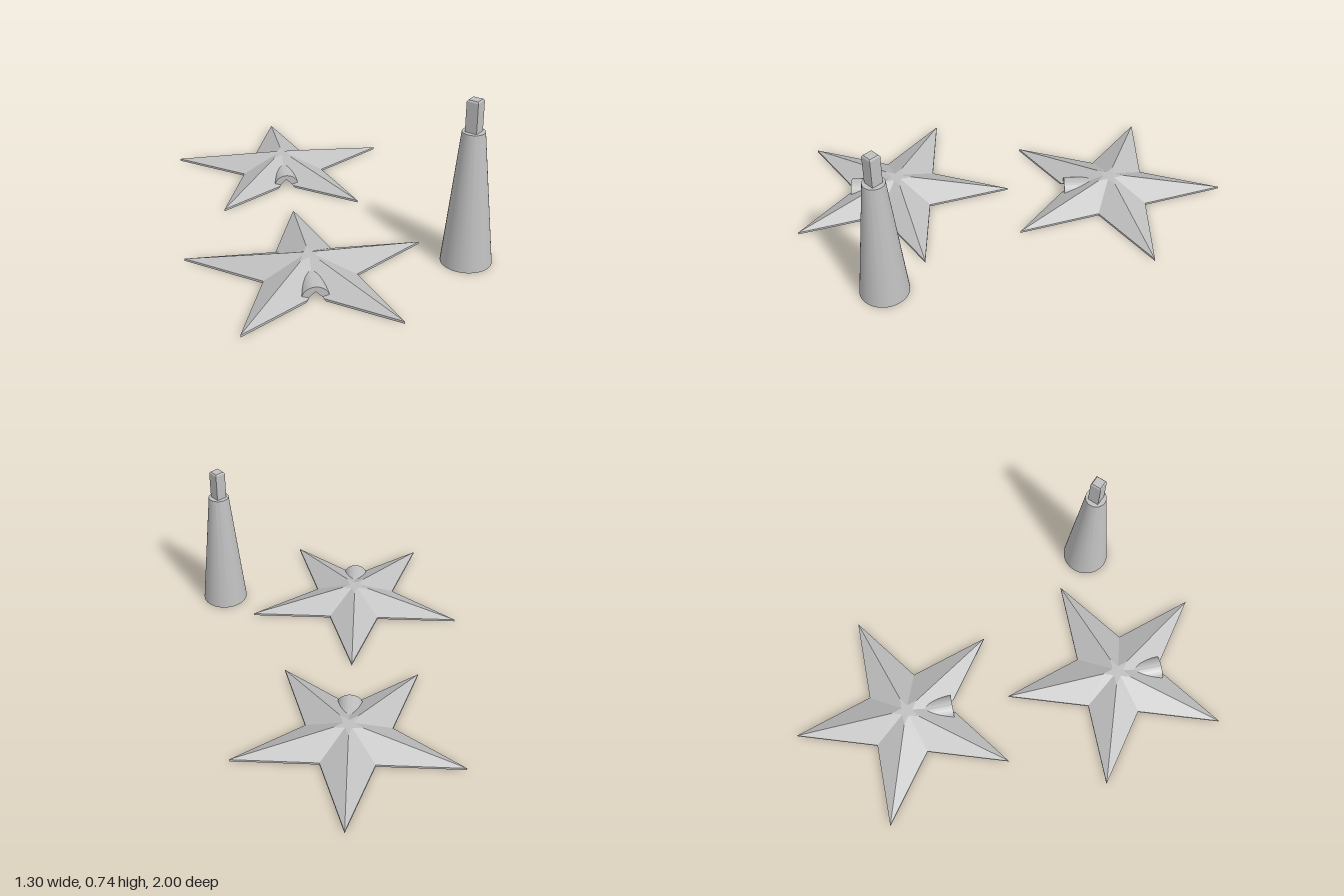
import * as THREE from 'three';
import { toCreasedNormals } from 'three/addons/utils/BufferGeometryUtils.js';

const R = 0.536, INNER = 0.205, CAP = 0.13;   // star radii and flat-top scale
const EDGE = 0.01, TOP = 0.085;               // slab thickness and full height
const STEP = Math.PI / 5;
const polar = (r, a, y) => [r * Math.sin(a), y, r * Math.cos(a)];

// Flat-shaded geometry from convex polygons, each split as a fan
function facets(polys) {
  const pos = [];
  for (const p of polys)
    for (let i = 1; i < p.length - 1; i++) pos.push(...p[0], ...p[i], ...p[i + 1]);
  const g = new THREE.BufferGeometry();
  g.setAttribute('position', new THREE.Float32BufferAttribute(pos, 3));
  g.computeVertexNormals();
  return g;
}

function lathe(points, segments, crease = 0.5) {
  return toCreasedNormals(
    new THREE.LatheGeometry(points.map(p => new THREE.Vector2(...p)), segments), crease);
}

export function createModel() {
  const grey = new THREE.MeshStandardMaterial({ color: 0xbfbfbf });
  grey.name = 'plain grey';
  const model = new THREE.Group();
  model.name = 'starsAndPost';
  const add = (parent, geometry, name) => {
    const mesh = new THREE.Mesh(geometry, grey);
    mesh.name = name;
    parent.add(mesh);
    return mesh;
  };

  // Faceted star shell, with a triangular socket cut into the front notch
  const polys = [];
  const slotBack = 0.08, slotHalf = 0.04, archFront = 0.219;
  for (let k = 0; k < 5; k++) {
    for (const s of [1, -1]) {
      const push = p => polys.push(s > 0 ? p : p.reverse());
      const a = k * 2 * STEP, b = a + s * STEP;
      const tip = polar(R, b, EDGE), tipLow = polar(R, b, 0), tipTop = polar(R * CAP, b, TOP);
      const valley = polar(INNER, a, EDGE), valleyTop = polar(INNER * CAP, a, TOP);
      push([[0, TOP, 0], valleyTop, tipTop]);
      if (k > 0) {
        push([valleyTop, valley, tip, tipTop]);
        push([polar(INNER, a, 0), tipLow, tip, valley]);
      } else {
        const lip = [s * 0.03, EDGE, 0.227], foot = [s * slotHalf, 0, 0.234];
        push([valleyTop, [0, 0.04, 0.134], lip, tip, tipTop]);
        push([foot, tipLow, tip, lip]);
        push([[s * slotHalf, 0, slotBack], foot, lip, [0, 0.04, archFront], [0, 0.04, slotBack]]);
      }
    }
  }
  polys.push([[-slotHalf, 0, slotBack], [slotHalf, 0, slotBack], [0, 0.04, slotBack]]);
  const starShell = facets(polys);

  // Underside outline with the socket opening and small blind holes
  const outline = [[slotHalf, 0.234]];
  for (let i = 1; i < 10; i++) {
    const p = polar(i % 2 ? R : INNER, i * STEP, 0);
    outline.push([p[0], p[2]]);
  }
  outline.push([-slotHalf, 0.234], [-slotHalf, slotBack], [slotHalf, slotBack]);
  const under = new THREE.Shape(outline.map(p => new THREE.Vector2(...p)));
  const pinSpots = [3, 5, 7].map(i => polar(0.215, i * STEP, 0));
  for (const [x, , z] of pinSpots)
    under.holes.push(new THREE.Path().absarc(x, z, 0.006, 0, Math.PI * 2, true));
  const underside = new THREE.ShapeGeometry(under, 6).rotateX(Math.PI / 2);
  const pinHole = lathe([[0, 0.02], [0.006, 0.02], [0.006, 0]], 12);

  // Half-round hood over the socket
  const hood = new THREE.Shape();
  hood.moveTo(0.06, 0);
  hood.absarc(0, 0, 0.06, 0, Math.PI, false);
  hood.lineTo(-slotHalf, 0);
  hood.lineTo(0, 0.04);
  hood.lineTo(slotHalf, 0);
  const hoodGeometry = toCreasedNormals(new THREE.ExtrudeGeometry(hood,
    { depth: archFront - 0.06, bevelEnabled: false, curveSegments: 24 }).translate(0, 0, 0.06), 0.5);

  // Two identical stars
  for (const [name, z] of [['backStar', -0.464], ['frontStar', 0.566]]) {
    const star = new THREE.Group();
    star.name = name;
    star.position.set(-0.14, 0, z);
    add(star, starShell, 'starShell');
    add(star, underside, 'underside');
    add(star, hoodGeometry, 'socketHood');
    for (const p of pinSpots) add(star, pinHole, 'pinHole').position.set(...p);
    model.add(star);
  }

  // Hollow tapered post with a square peg set cornerwise
  const post = new THREE.Group();
  post.name = 'post';
  post.position.set(0.536, 0, 0.566);
  add(post, lathe([[0, 0.575], [0.035, 0.575], [0.095, 0], [0.11, 0],
    [0.0485, 0.597], [0, 0.597]], 48), 'taperedTube');
  add(post, lathe([[0.0375, 0.59], [0.0375, 0.728], [0.031, 0.735], [0, 0.735]], 4, 0.3), 'squarePeg');
  model.add(post);

  return model;
}
